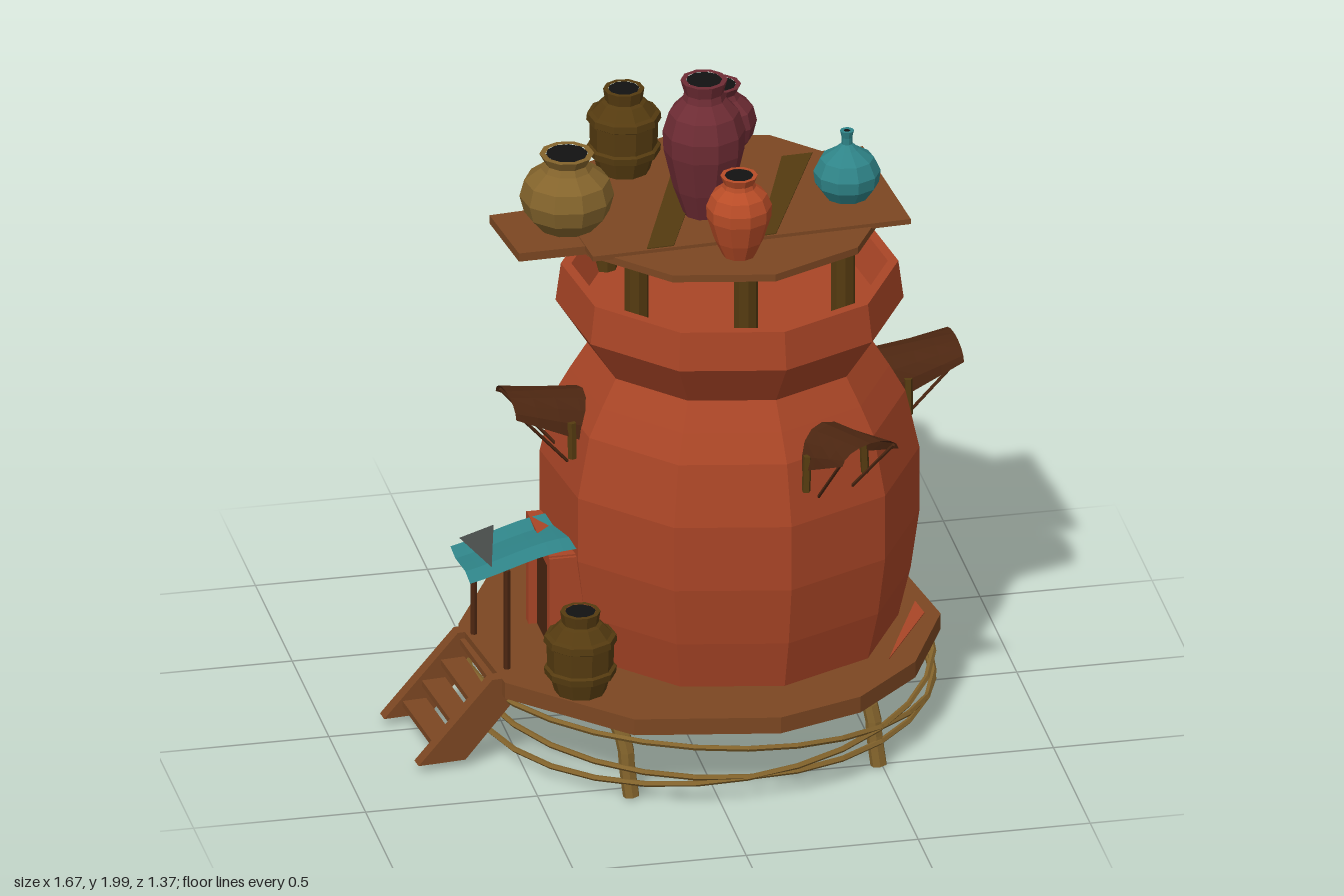
import * as THREE from 'three';

const mat = (name, color, o = {}) => Object.assign(new THREE.MeshStandardMaterial({ color, flatShading: true, ...o }), { name });
const D = { side: THREE.DoubleSide };
const M = {
  clay: mat('terracotta', 0xa94526),
  wood: mat('brown wood', 0x7c4722),
  dark: mat('dark wood', 0x4c2611, D),
  olive: mat('dark olive', 0x553b10),
  khaki: mat('khaki', 0x84642c),
  plum: mat('plum glaze', 0x6e2c34),
  orange: mat('orange glaze', 0xb84c27),
  teal: mat('teal', 0x2f8488, D),
  black: mat('black', 0x121212),
  grey: mat('grey cloth', 0x464a48, D),
};
const rad = THREE.MathUtils.degToRad;
const CX = 0.165; // axis of the big jar

function add(parent, name, geo, m, x = 0, y = 0, z = 0) {
  const mesh = new THREE.Mesh(geo, m);
  mesh.name = name;
  mesh.position.set(x, y, z);
  parent.add(mesh);
  return mesh;
}
const box = (p, name, m, w, h, d, x, y, z) => add(p, name, new THREE.BoxGeometry(w, h, d), m, x, y, z);
const lathe = (pts, n, start = 0) => new THREE.LatheGeometry(pts.map(([r, y]) => new THREE.Vector2(r, y)), n, start);

// Round bar between two points
function bar(p, name, m, a, b, r, n = 6) {
  const A = new THREE.Vector3(...a), B = new THREE.Vector3(...b), d = B.clone().sub(A);
  const mesh = add(p, name, new THREE.CylinderGeometry(r, r, d.length(), n), m);
  mesh.position.copy(A).add(B).multiplyScalar(0.5);
  mesh.quaternion.setFromUnitVectors(new THREE.Vector3(0, 1, 0), d.normalize());
  return mesh;
}

// Flat slab from an outline of [x, z] points
function slab(p, name, m, pts, y, h) {
  const s = new THREE.Shape(pts.map(([x, z]) => new THREE.Vector2(x, -z)));
  const g = new THREE.ExtrudeGeometry(s, { depth: h, bevelEnabled: false });
  g.rotateX(-Math.PI / 2);
  return add(p, name, g, m, 0, y, 0);
}

// Pot profiles as fractions of radius and height
const PROFILE = {
  round: [[0, 0], [0.6, 0], [0.9, 0.2], [1, 0.42], [0.9, 0.64], [0.55, 0.8], [0.47, 0.88], [0.58, 1], [0.45, 1]],
  tall: [[0, 0], [0.5, 0], [0.75, 0.2], [0.98, 0.48], [1, 0.62], [0.85, 0.76], [0.52, 0.86], [0.48, 0.91], [0.57, 1], [0.44, 1]],
  barrel: [[0, 0], [0.7, 0], [0.85, 0.22], [0.97, 0.22], [0.99, 0.3], [0.9, 0.32], [0.92, 0.6], [1, 0.62], [0.98, 0.7],
    [0.86, 0.72], [0.6, 0.84], [0.5, 0.86], [0.55, 1], [0.42, 1]],
  bottle: [[0, 0], [0.65, 0], [0.95, 0.2], [1, 0.38], [0.8, 0.58], [0.35, 0.72], [0.16, 0.8], [0.16, 0.9], [0.21, 1], [0.1, 1]],
};
function pot(p, name, kind, m, x, y, z, r, h) {
  const g = new THREE.Group();
  g.name = name;
  g.position.set(x, y, z);
  const pts = PROFILE[kind].map(([a, b]) => [a * r, b * h]);
  add(g, 'potBody', lathe(pts, 10, 0.15), m);
  const mouth = add(g, 'potMouth', new THREE.CircleGeometry(pts.at(-1)[0], 10), M.black, 0, h - 0.001, 0);
  mouth.rotation.x = -Math.PI / 2;
  p.add(g);
}

// Arched hood: deep arch at the wall, shallow at the outer edge
function hood(p, deg) {
  const g = new THREE.Group();
  g.name = 'windowHood';
  const rows = 4, cols = 8, pos = [], idx = [];
  for (let i = 0; i <= rows; i++) for (let j = 0; j <= cols; j++) {
    const t = i / rows, a = Math.PI * (j / cols);
    const drop = THREE.MathUtils.lerp(0.14, 0.045, t);
    pos.push(-Math.cos(a) * (0.11 - 0.01 * t), 1.05 + 0.025 * t - drop * (1 - Math.sin(a)), 0.4 + 0.265 * t);
    if (i < rows && j < cols) {
      const k = i * (cols + 1) + j;
      idx.push(k, k + cols + 1, k + 1, k + 1, k + cols + 1, k + cols + 2);
    }
  }
  const geo = new THREE.BufferGeometry();
  geo.setAttribute('position', new THREE.Float32BufferAttribute(pos, 3));
  geo.setIndex(idx);
  geo.computeVertexNormals();
  add(g, 'hoodShell', geo, M.dark);
  for (const s of [-1, 1]) {
    bar(g, 'hoodStrut', M.dark, [s * 0.06, 0.86, 0.5], [s * 0.09, 1.04, 0.655], 0.005, 5);
    bar(g, 'hoodSide', M.olive, [s * 0.105, 0.89, 0.5], [s * 0.1, 1.0, 0.5], 0.013, 5);
  }
  g.position.x = CX;
  g.rotation.y = rad(deg);
  p.add(g);
}

export function createModel() {
  const root = new THREE.Group();
  root.name = 'jarHouse';

  // Jar-shaped house
  add(root, 'jarWall', lathe([[0.48, 0.27], [0.515, 0.42], [0.54, 0.6], [0.54, 0.8], [0.5, 0.98], [0.455, 1.06], [0.405, 1.14],
    [0.495, 1.275], [0.48, 1.39], [0.45, 1.39], [0.41, 1.3], [0, 1.3]], 10, rad(7)), M.clay, CX);
  [94, 25, 201, -85].forEach(a => hood(root, a));

  // Platform with legs and tilted hoops
  slab(root, 'platform', M.wood, [[0, -0.69], [0.4, -0.61], [0.69, -0.31], [0.755, 0.11], [0.62, 0.4], [0.42, 0.59], [0.17, 0.675],
    [-0.24, 0.6], [-0.55, 0.29], [-0.6, -0.11], [-0.4, -0.5]], 0.22, 0.05);
  slab(root, 'platformPatch', M.clay, [[0.36, -0.54], [0.45, -0.52], [0.68, -0.29], [0.67, -0.2], [0.55, -0.36]], 0.268, 0.005);
  slab(root, 'platformPatch', M.clay, [[0.55, 0.37], [0.71, 0.1], [0.7, 0.02], [0.6, 0.25]], 0.268, 0.005);
  for (const [x, z] of [[0.48, 0.5], [-0.25, 0.55], [0.49, -0.4], [-0.33, -0.44]]) {
    const curve = new THREE.CatmullRomCurve3([[0.01, 0.01], [0, 0.1], [-0.005, 0.17], [-0.025, 0.23]].map(
      ([d, y]) => new THREE.Vector3(x + d, y, z + d)));
    add(root, 'leg', new THREE.TubeGeometry(curve, 5, 0.024, 7), M.khaki);
  }
  for (const [tx, tz, y] of [[0.06, 0.09, 0.125], [-0.07, -0.08, 0.13], [0.08, -0.03, 0.14]]) {
    const hoop = add(root, 'hoop', new THREE.TorusGeometry(0.667, 0.009, 5, 28).rotateX(Math.PI / 2), M.khaki, 0.077, y, 0);
    hoop.rotation.set(tx, 0, tz);
  }

  // Ladder
  const ladder = new THREE.Group();
  ladder.name = 'ladder';
  ladder.position.set(-0.53, 0, 0.08);
  ladder.rotation.y = 0.1;
  for (const s of [-1, 1]) {
    const rail = new THREE.Shape([[-0.29, 0.03], [-0.15, 0.03], [0.06, 0.27], [-0.07, 0.27]].map(q => new THREE.Vector2(...q)));
    add(ladder, 'rail', new THREE.ExtrudeGeometry(rail, { depth: 0.04, bevelEnabled: false }), M.wood, 0, 0, s * 0.16 - 0.02);
  }
  for (let i = 0; i < 4; i++) box(ladder, 'tread', M.wood, 0.07, 0.018, 0.3, -0.2 + i * 0.057, 0.07 + i * 0.057, 0);
  root.add(ladder);

  // Doorway
  const door = new THREE.Group();
  door.name = 'doorway';
  for (const z of [-0.085, 0.2]) box(door, 'doorPost', M.clay, 0.1, 0.34, 0.035, -0.355, 0.44, z);
  box(door, 'lintel', M.clay, 0.08, 0.04, 0.3, -0.365, 0.595, 0.0575);
  box(door, 'doorPanel', M.dark, 0.05, 0.31, 0.25, -0.355, 0.425, 0.0575);
  root.add(door);

  // Cloth awning on two poles
  const awning = new THREE.Group();
  awning.name = 'awning';
  bar(awning, 'awningPole', M.dark, [-0.57, 0.26, -0.04], [-0.57, 0.58, -0.04], 0.01);
  bar(awning, 'awningPole', M.dark, [-0.525, 0.26, 0.2], [-0.525, 0.58, 0.2], 0.01);
  const sag = x => 0.585 + 0.045 * Math.sin((x + 0.52) * 7.5);
  const cloth = new THREE.PlaneGeometry(0.31, 0.27, 8, 4).rotateX(-Math.PI / 2).translate(-0.48, 0, 0.08);
  const cp = cloth.attributes.position;
  for (let i = 0; i < cp.count; i++) cp.setY(i, sag(cp.getX(i)) - 0.012 * Math.cos(cp.getZ(i) * 20));
  cloth.computeVertexNormals();
  add(awning, 'cloth', cloth, M.teal);
  const patch = new THREE.BufferGeometry();
  patch.setAttribute('position', new THREE.Float32BufferAttribute(
    [[-0.61, -0.052], [-0.565, 0.18], [-0.51, -0.052]].flatMap(([x, z]) => [x, sag(x) + 0.014, z]), 3));
  patch.computeVertexNormals();
  add(awning, 'clothPatch', patch, M.grey);
  root.add(awning);

  // Roof deck on posts
  for (const [x, z] of [[0.13, 0.385], [0.13, -0.385], [-0.15, 0.21], [-0.15, -0.22], [0.45, 0.21], [0.45, -0.22]])
    bar(root, 'roofPost', M.olive, [x, 1.28, z], [x, 1.56, z], 0.035, 8);
  add(root, 'roofDisc', new THREE.CylinderGeometry(0.475, 0.475, 0.022, 10, 1, false, rad(7)), M.wood, 0.14, 1.561, 0);
  slab(root, 'roofBoard', M.wood, [[-0.33, -0.22], [0.61, -0.27], [0.645, 0.22], [-0.29, 0.27]], 1.566, 0.016);
  slab(root, 'roofTongue', M.wood, [[-0.52, -0.06], [-0.2, -0.09], [-0.18, 0.19], [-0.49, 0.2]], 1.553, 0.026);
  slab(root, 'roofStripe', M.olive, [[-0.13, 0.255], [-0.05, 0.25], [0.14, -0.24], [0.05, -0.235]], 1.581, 0.004);
  slab(root, 'roofStripe', M.olive, [[0.2, 0.24], [0.25, 0.235], [0.46, -0.255], [0.37, -0.25]], 1.581, 0.004);

  // Pots on the roof and the platform
  const top = 1.582, floor = 0.27;
  pot(root, 'khakiPot', 'round', M.khaki, -0.32, top, 0.055, 0.135, 0.228);
  pot(root, 'barrelPot', 'barrel', M.olive, -0.085, top, -0.27, 0.107, 0.255);
  pot(root, 'tallPlumPot', 'tall', M.plum, 0.08, top, 0.05, 0.118, 0.418);
  pot(root, 'orangePot', 'tall', M.orange, 0.12, top, 0.34, 0.094, 0.25);
  pot(root, 'plumPot', 'round', M.plum, 0.21, top, -0.35, 0.107, 0.2);
  pot(root, 'tealBottle', 'bottle', M.teal, 0.5, top, 0.03, 0.096, 0.205);
  pot(root, 'barrelPot', 'barrel', M.olive, -0.35, floor, 0.38, 0.105, 0.25);
  pot(root, 'plumPot', 'round', M.plum, -0.25, floor, -0.42, 0.081, 0.155);
  pot(root, 'orangePot', 'tall', M.orange, -0.13, floor, -0.57, 0.066, 0.18);
  return root;
}
